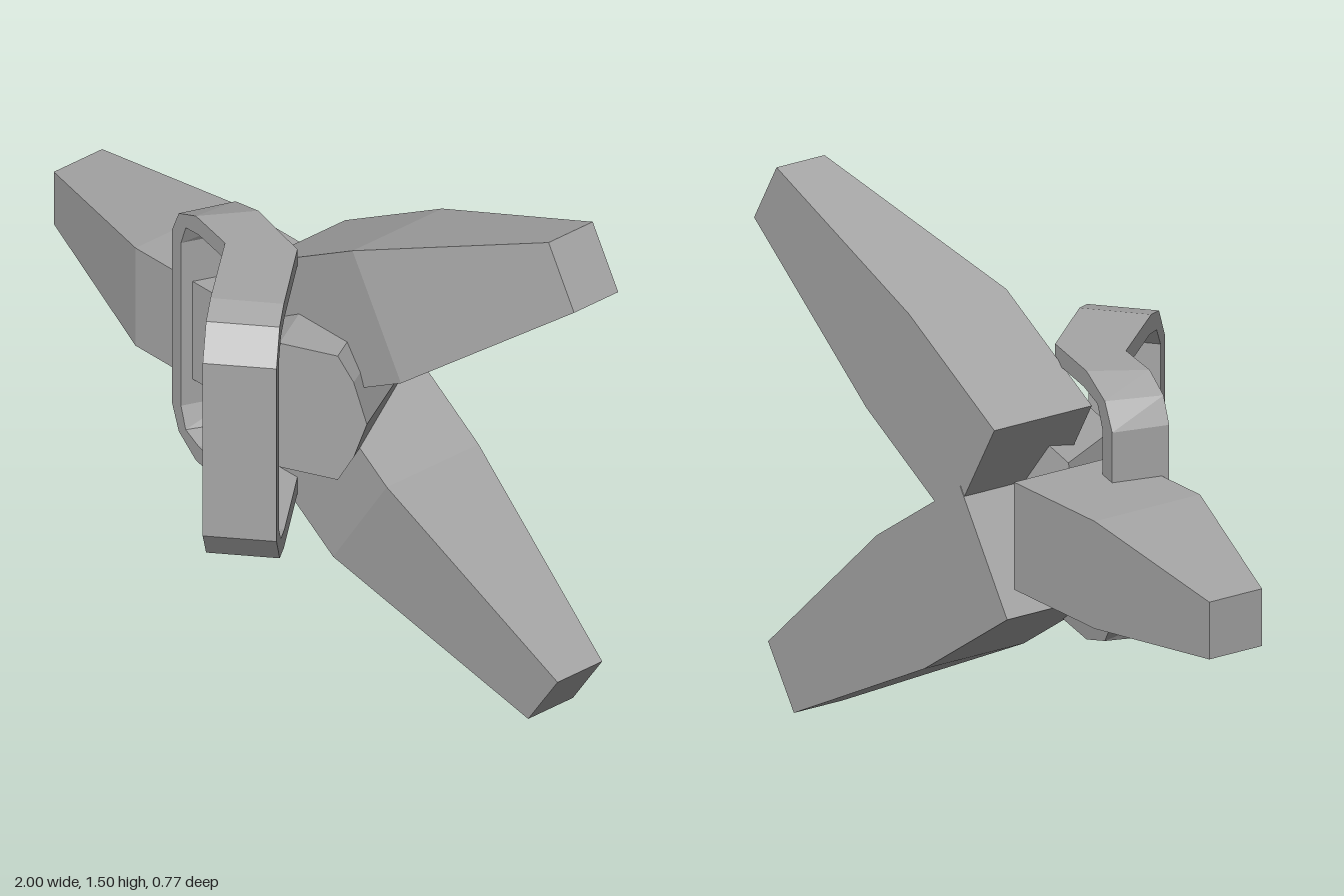
import * as THREE from 'three';

const grey = new THREE.MeshStandardMaterial({ color: 0xa6a6a6, flatShading: true });
grey.name = 'grey';

// Skin a list of cross-sections; closed joins the last to the first, otherwise ends are capped
function loft(name, sections, closed = false) {
  const pos = [];
  const n = sections[0].length;
  const tri = (a, b, c) => pos.push(...a, ...b, ...c);
  const spans = closed ? sections.length : sections.length - 1;
  for (let i = 0; i < spans; i++) {
    const a = sections[i], b = sections[(i + 1) % sections.length];
    for (let j = 0; j < n; j++) {
      const k = (j + 1) % n;
      tri(a[j], b[j], b[k]);
      tri(a[j], b[k], a[k]);
    }
  }
  if (!closed) {
    const first = sections[0], last = sections[sections.length - 1];
    for (let j = 1; j < n - 1; j++) {
      tri(first[0], first[j], first[j + 1]);
      tri(last[0], last[j + 1], last[j]);
    }
  }
  // Turn the faces outward when the enclosed volume comes out negative
  let volume = 0;
  const a = new THREE.Vector3(), b = new THREE.Vector3(), c = new THREE.Vector3();
  for (let i = 0; i < pos.length; i += 9) {
    a.fromArray(pos, i); b.fromArray(pos, i + 3); c.fromArray(pos, i + 6);
    volume += a.dot(b.cross(c));
  }
  if (volume < 0) {
    for (let i = 0; i < pos.length; i += 9) {
      for (let k = 0; k < 3; k++) {
        [pos[i + 3 + k], pos[i + 6 + k]] = [pos[i + 6 + k], pos[i + 3 + k]];
      }
    }
  }
  const geometry = new THREE.BufferGeometry();
  geometry.setAttribute('position', new THREE.Float32BufferAttribute(pos, 3));
  geometry.computeVertexNormals();
  const mesh = new THREE.Mesh(geometry, grey);
  mesh.name = name;
  return mesh;
}

// Arm with a flat back: edges are [upper xy, lower xy] at root, shoulder and tip
function arm(name, edges, back, front, tipFront) {
  return loft(name, edges.map(([u, l], i) => {
    const f = i === 2 ? tipFront : front;
    return [[...u, back], [...u, f], [...l, f], [...l, back]];
  }));
}

// Point on a bent line through three [x, z] points, s from -1 to 1
function bent(line, s, y) {
  const [p, q, r] = line;
  const end = s < 0 ? p : r, t = Math.abs(s);
  return [q[0] + (end[0] - q[0]) * t, y, q[1] + (end[1] - q[1]) * t];
}

export function createModel() {
  const group = new THREE.Group();
  group.name = 'threeArmedCraft';

  // Three tapering arms
  group.add(
    arm('rightArm', [
      [[-0.13, 0.93], [-0.13, 0.63]],
      [[-0.49, 0.93], [-0.49, 0.63]],
      [[-1.0, 0.86], [-1.0, 0.70]],
    ], -0.36, -0.02, -0.19),
    arm('upperLeftArm', [
      [[-0.07, 1.06], [0.12, 0.74]],
      [[0.31, 1.27], [0.50, 0.95]],
      [[0.90, 1.50], [1.0, 1.33]],
    ], -0.38, -0.065, -0.225),
    arm('lowerLeftArm', [
      [[0.08, 0.86], [-0.13, 0.55]],
      [[0.45, 0.61], [0.24, 0.30]],
      [[0.935, 0.165], [0.82, 0.0]],
    ], -0.382, -0.06, -0.225),
  );

  // Bent frame with chamfered corners: [outer s, outer height, inner s, inner height]
  const frontLine = [[-0.325, 0.0], [-0.05, 0.06], [0.225, 0.385]];
  const backLine = [[-0.285, -0.155], [0.10, -0.06], [0.375, 0.26]];
  const half = [
    [-1, 0.265, -0.83, 0.25], [-0.87, 0.335, -0.74, 0.31], [-0.55, 0.375, -0.5, 0.325],
    [0, 0.375, 0, 0.325],
    [0.65, 0.375, 0.62, 0.325], [0.85, 0.355, 0.79, 0.31], [1, 0.265, 0.89, 0.255],
  ];
  const loop = [...half, ...half.map(([a, b, c, d]) => [a, -b, c, -d]).reverse()];
  const midY = 0.805;
  group.add(loft('bentFrame', loop.map(([so, yo, si, yi]) => [
    bent(frontLine, so, midY + yo), bent(frontLine, si, midY + yi),
    bent(backLine, si, midY + yi), bent(backLine, so, midY + yo),
  ]), true));

  // Faceted core drum, turned toward the left: [fraction across the face, y]
  const face = [
    [0, 0.79], [0.06, 0.91], [0.34, 0.98], [0.78, 0.98], [0.9, 0.91],
    [1, 0.79], [0.9, 0.68], [0.78, 0.60], [0.34, 0.60], [0.06, 0.68],
  ];
  const disc = (dx, dz) => face.map(([t, y]) => [0.06 + 0.34 * t + dx, y, 0.125 - 0.16 * t + dz]);
  group.add(loft('coreDrum', [disc(0, 0), disc(-0.135, -0.245)]));

  return group;
}
